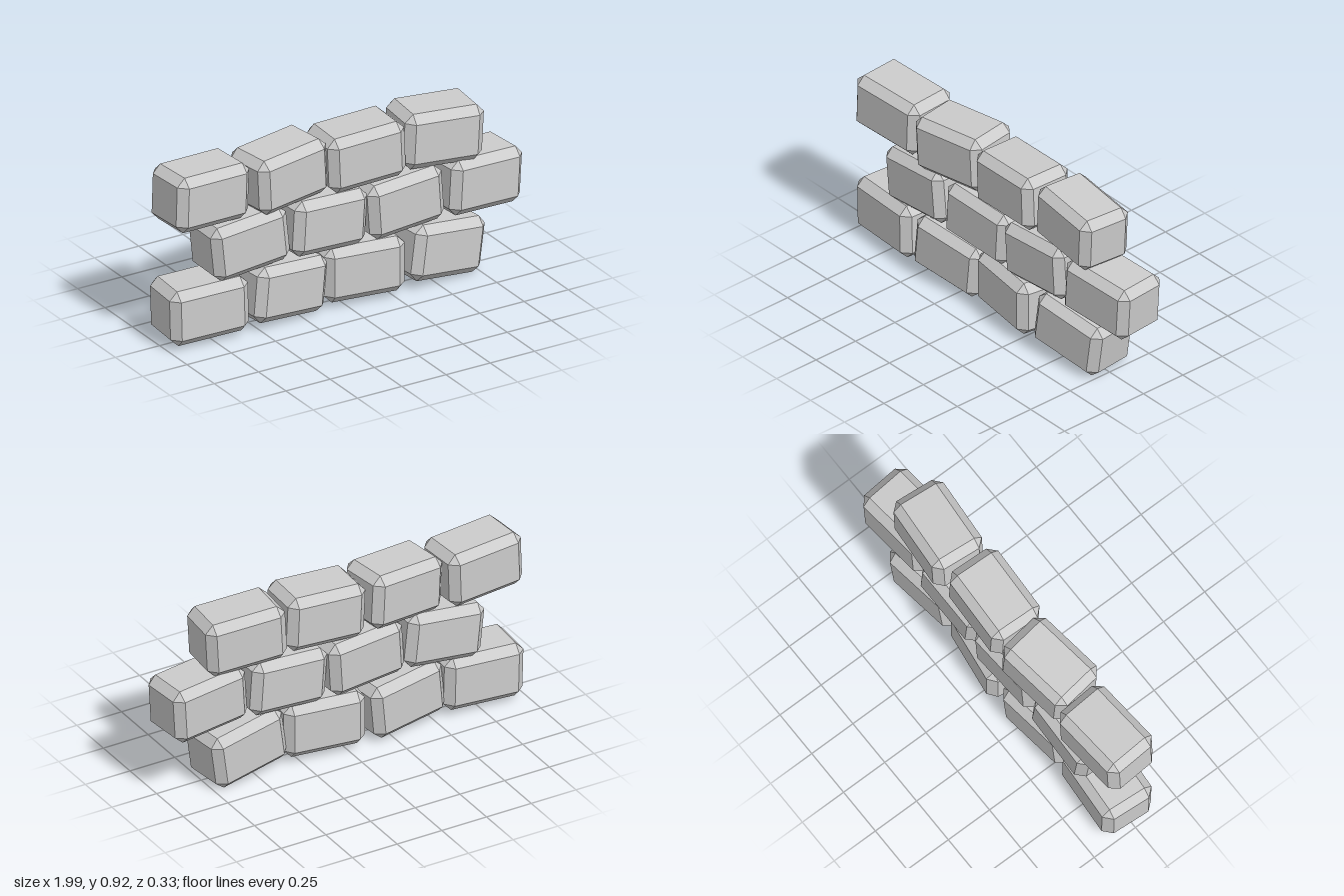
import * as THREE from 'three';
import { ConvexGeometry } from 'three/addons/geometries/ConvexGeometry.js';

// Box with every edge cut flat and a small triangle at each corner
function chamferedBox(w, h, d, c) {
  const points = [];
  for (const sx of [-1, 1]) for (const sy of [-1, 1]) for (const sz of [-1, 1]) {
    const x = w / 2, y = h / 2, z = d / 2;
    points.push(
      new THREE.Vector3(sx * x, sy * (y - c), sz * (z - c)),
      new THREE.Vector3(sx * (x - c), sy * y, sz * (z - c)),
      new THREE.Vector3(sx * (x - c), sy * (y - c), sz * z)
    );
  }
  return new ConvexGeometry(points);
}

// Each brick: centre x, centre y, turn about y, tilt about z (degrees)
const courses = {
  bottomCourse: [
    [-0.775, 0.17, -4, 1.5],
    [-0.333, 0.172, 6, -5.5],
    [0.108, 0.174, -8, 0],
    [0.555, 0.167, 6, -8],
  ],
  middleCourse: [
    [-0.55, 0.47, -1, 6],
    [-0.107, 0.472, 3, -3.5],
    [0.325, 0.472, 1, 4],
    [0.77, 0.474, 5, -3.5],
  ],
  topCourse: [
    [-0.77, 0.767, 4, -2],
    [-0.325, 0.767, 8, 3],
    [0.11, 0.767, -2, 2.5],
    [0.55, 0.767, -5, -3],
  ],
};

export function createModel() {
  const model = new THREE.Group();
  model.name = 'brickWall';
  const material = new THREE.MeshStandardMaterial({ color: 0xcccccc, flatShading: true });
  const geometry = chamferedBox(0.425, 0.29, 0.285, 0.042);

  // Three staggered courses of four loosely laid bricks
  for (const [name, bricks] of Object.entries(courses)) {
    const course = new THREE.Group();
    course.name = name;
    bricks.forEach(([x, y, turn, tilt], i) => {
      const brick = new THREE.Mesh(geometry, material);
      brick.name = `brick${i + 1}`;
      brick.position.set(x, y, 0);
      brick.rotation.set(0, THREE.MathUtils.degToRad(turn), THREE.MathUtils.degToRad(tilt));
      course.add(brick);
    });
    model.add(course);
  }
  return model;
}
